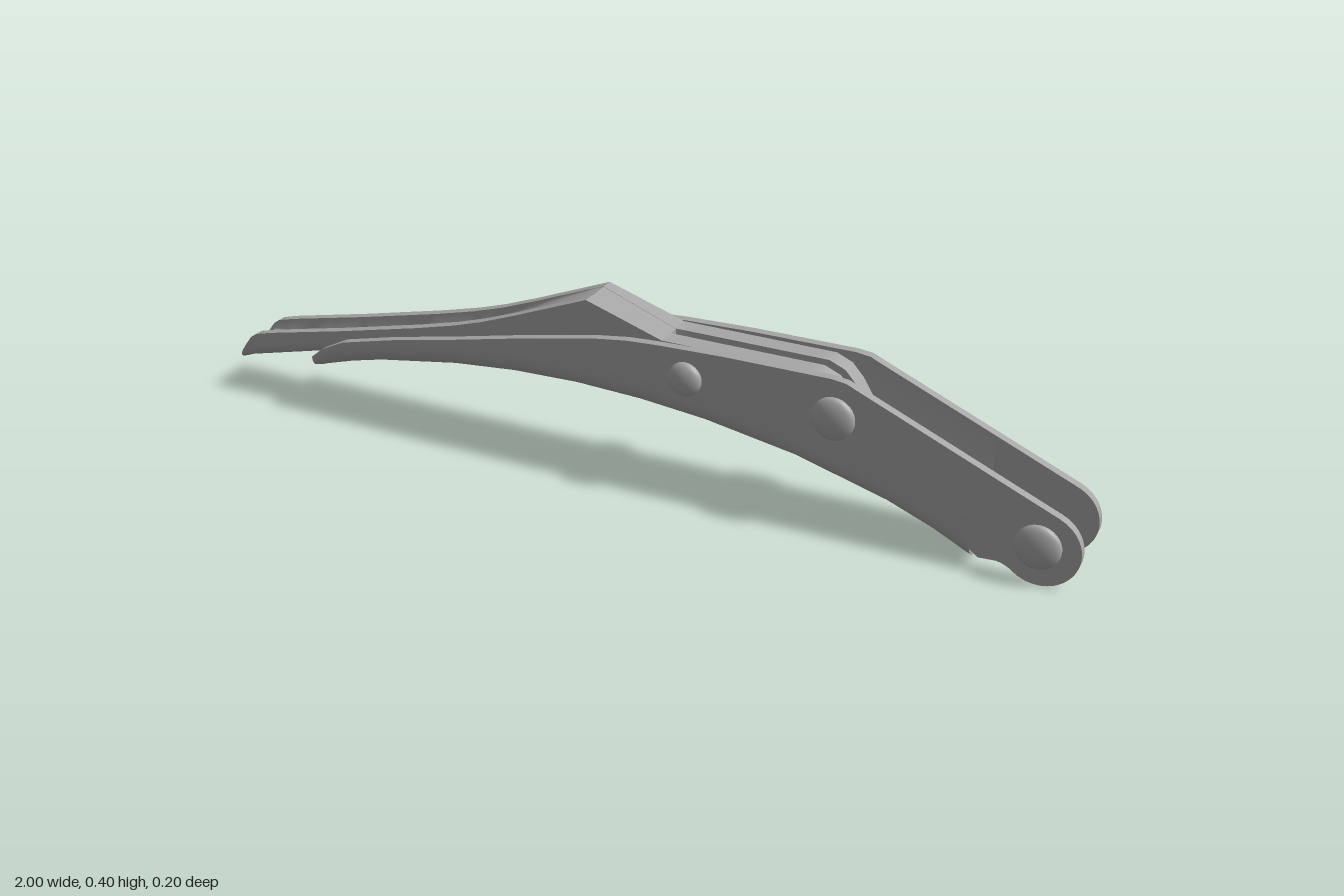
import * as THREE from 'three';
import { toCreasedNormals } from 'three/addons/utils/BufferGeometryUtils.js';

// Piecewise-linear lookup in a short list of [x, value] pairs
function at(table, x) {
  if (x <= table[0][0]) return table[0][1];
  for (let i = 1; i < table.length; i++) {
    const [x0, v0] = table[i - 1], [x1, v1] = table[i];
    if (x <= x1) return v0 + (v1 - v0) * (x - x0) / (x1 - x0);
  }
  return table[table.length - 1][1];
}

// Channel cross-section as [z, y] points: rounded bottom, groove open upwards
function channelRing({ top, bottom, half, groove, floor, radius, inner }) {
  const pts = [], steps = 6;
  const r = Math.min(radius, (top - bottom) * 0.8, half * 0.9);
  const ri = Math.min(inner, (top - floor) * 0.9, groove * 0.9);
  const arc = (cz, cy, rad, a0, a1) => {
    for (let i = 0; i <= steps; i++) {
      const a = a0 + (a1 - a0) * i / steps;
      pts.push([cz + rad * Math.cos(a), cy + rad * Math.sin(a)]);
    }
  };
  const q = Math.PI / 2;
  arc(-half + r, bottom + r, r, -2 * q, -q);
  arc(half - r, bottom + r, r, -q, 0);
  pts.push([half, top], [groove, top]);
  arc(groove - ri, floor + ri, ri, 0, -q);
  arc(-groove + ri, floor + ri, ri, -q, -2 * q);
  pts.push([-groove, top], [-half, top]);
  return pts;
}

// Skin a series of cross-sections along x and close both ends
function loft(xs, section) {
  const rings = xs.map((x) => channelRing(section(x)));
  const n = rings[0].length, pos = [], index = [];
  rings.forEach((ring, i) => ring.forEach(([z, y]) => pos.push(xs[i], y, z)));
  for (let i = 0; i < rings.length - 1; i++) {
    for (let j = 0; j < n; j++) {
      const a = i * n + j, b = i * n + (j + 1) % n;
      index.push(a, a + n, b + n, a, b + n, b);
    }
  }
  const cap = (i, flip) => {
    const contour = rings[i].map(([z, y]) => new THREE.Vector2(z, y));
    for (const [a, b, c] of THREE.ShapeUtils.triangulateShape(contour, [])) {
      if (flip) index.push(i * n + a, i * n + c, i * n + b);
      else index.push(i * n + a, i * n + b, i * n + c);
    }
  };
  cap(0, false);
  cap(rings.length - 1, true);
  const geo = new THREE.BufferGeometry();
  geo.setAttribute('position', new THREE.Float32BufferAttribute(pos, 3));
  geo.setIndex(index);
  return toCreasedNormals(geo, 0.5);
}

// Even stations plus every x named in the tables
function stations(x0, x1, tables) {
  const xs = [];
  for (let i = 0; i <= 40; i++) xs.push(x0 + (x1 - x0) * i / 40);
  tables.forEach((t) => t.forEach(([x]) => { if (x >= x0 && x <= x1) xs.push(x); }));
  xs.sort((a, b) => a - b);
  return xs.filter((x, i) => i === 0 || x - xs[i - 1] > 0.0005);
}

export function createModel() {
  const model = new THREE.Group();
  model.name = 'handLever';
  const steel = new THREE.MeshStandardMaterial({ color: 0xa6a6a6 });
  steel.name = 'greySteel';
  const add = (name, geo) => {
    const mesh = new THREE.Mesh(geo, steel);
    mesh.name = name;
    model.add(mesh);
    return mesh;
  };

  // Outer channel: two side walls joined by a rounded, arched underside
  const wallTop = [[-0.78, 0.13], [-0.74, 0.163], [-0.68, 0.193], [-0.55, 0.225], [-0.4, 0.256],
    [-0.2, 0.3], [-0.05, 0.33], [0.03, 0.341], [0.1, 0.345], [0.25, 0.349], [0.48, 0.349],
    [0.51, 0.345], [0.53, 0.336], [0.78, 0.228]];
  const wallBottom = [[-0.78, 0.108], [-0.6, 0.151], [-0.4, 0.184], [-0.25, 0.198], [-0.1, 0.202],
    [0.05, 0.196], [0.2, 0.181], [0.4, 0.146], [0.6, 0.09], [0.7, 0.05], [0.78, 0.01]];
  const wallHalf = [[-0.78, 0.062], [-0.772, 0.072], [-0.755, 0.079], [-0.74, 0.08]];
  add('outerChannel', loft(stations(-0.78, 0.78, [wallTop, wallBottom, wallHalf]), (x) => {
    const top = at(wallTop, x), bottom = at(wallBottom, x), half = at(wallHalf, x);
    return { top, bottom, half, groove: half - 0.02, floor: Math.min(bottom + 0.02, top - 0.002),
      radius: 0.05, inner: 0.032 };
  }));

  // Pivot ears continuing the side walls
  const ear = new THREE.Shape();
  ear.moveTo(0.78, 0.228);
  ear.lineTo(0.951, 0.154);
  ear.absarc(0.92, 0.08, 0.08, 1.166, -2.2, true);
  ear.quadraticCurveTo(0.855, 0.03, 0.835, 0.032);
  ear.lineTo(0.80, 0.03);
  ear.lineTo(0.78, 0.045);
  const earGeo = new THREE.ExtrudeGeometry(ear, { depth: 0.02, bevelEnabled: false, curveSegments: 32 });
  add('leftPivotEar', earGeo).position.z = 0.06;
  add('rightPivotEar', earGeo).position.z = -0.08;

  // Inner lever: grooved handle, raised peak, and slotted block at the rear
  const leverTop = [[-1, 0.083], [-0.985, 0.103], [-0.955, 0.142], [-0.94, 0.152], [-0.9, 0.163],
    [-0.7, 0.207], [-0.5, 0.254], [-0.4, 0.28], [-0.33, 0.302], [-0.25, 0.332], [-0.075, 0.402],
    [0.1, 0.345], [0.44, 0.343], [0.475, 0.328], [0.5, 0.3], [0.54, 0.235], [0.57, 0.165]];
  const leverBottom = [[-1, 0.078], [-0.78, 0.133], [-0.6, 0.172], [-0.4, 0.205], [-0.1, 0.222],
    [0.2, 0.2], [0.4, 0.166], [0.57, 0.122]];
  const leverHalf = [[-1, 0.035], [-0.995, 0.045], [-0.985, 0.052], [-0.97, 0.055]];
  const grooveHalf = [[-1, 0.015], [-0.97, 0.035], [-0.12, 0.03], [0.09, 0.013]];
  const grooveDepth = [[-1, 0.001], [-0.975, 0.001], [-0.965, 0.015], [-0.93, 0.035], [-0.4, 0.04],
    [-0.1, 0.001], [0.1, 0.001]];
  const slotFloor = [[0.101, 0.24], [0.57, 0.163]];
  const leverTables = [leverTop, leverBottom, leverHalf, grooveHalf, grooveDepth, slotFloor];
  add('innerLever', loft(stations(-1, 0.57, leverTables), (x) => {
    const top = at(leverTop, x);
    const floor = x <= 0.1 ? top - at(grooveDepth, x) : Math.min(at(slotFloor, x), top - 0.001);
    return { top, bottom: at(leverBottom, x), half: at(leverHalf, x), groove: at(grooveHalf, x),
      floor, radius: 0.03, inner: x < 0 ? 0.012 : 0.002 };
  }));

  // Domed rivet heads on both sides
  const rivets = [['middleRivet', 0.165, 0.283, 0.037], ['rearRivet', 0.487, 0.265, 0.046],
    ['pivotRivet', 0.915, 0.085, 0.047]];
  for (const [name, x, y, r] of rivets) {
    const profile = [new THREE.Vector2(r, -0.002), new THREE.Vector2(r, 0.004)];
    for (let i = 1; i <= 8; i++) {
      const a = (i / 8) * Math.PI / 2;
      profile.push(new THREE.Vector2(Math.max(r * Math.cos(a), 0), 0.004 + 0.016 * Math.sin(a)));
    }
    const dome = new THREE.LatheGeometry(profile, 32);
    for (const side of [1, -1]) {
      const head = add((side > 0 ? 'left ' : 'right ') + name, dome);
      head.position.set(x, y, side * 0.08);
      head.rotation.x = side * Math.PI / 2;
    }
  }
  return model;
}
